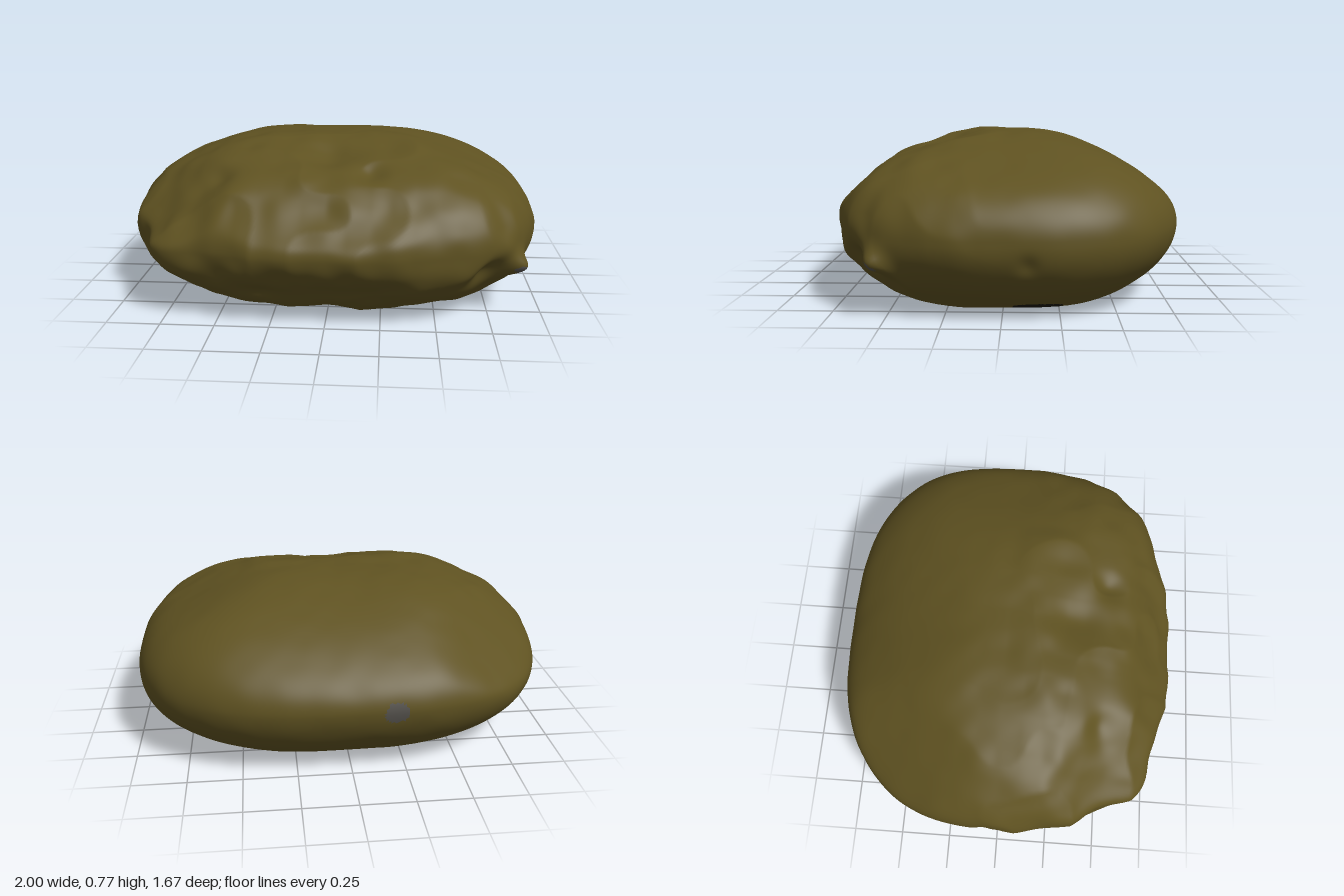
import * as THREE from 'three';
import { mergeVertices } from 'three/addons/utils/BufferGeometryUtils.js';

const CORE = 0.35; // height of the widest girth

// Smooth lattice noise in -1..1
function hash(x, y, z) {
  const s = Math.sin(x * 127.1 + y * 311.7 + z * 74.7) * 43758.5453;
  return (s - Math.floor(s)) * 2 - 1;
}
function noise(x, y, z) {
  const ix = Math.floor(x), iy = Math.floor(y), iz = Math.floor(z);
  const ease = t => t * t * (3 - 2 * t);
  const u = ease(x - ix), v = ease(y - iy), w = ease(z - iz);
  let sum = 0;
  for (let k = 0; k < 8; k++) {
    const a = k & 1, b = (k >> 1) & 1, c = k >> 2;
    sum += hash(ix + a, iy + b, iz + c) * (a ? u : 1 - u) * (b ? v : 1 - v) * (c ? w : 1 - w);
  }
  return sum;
}

// Worn planes: normal, distance from the core, softness of the edge
const CUTS = [
  { n: [-0.84, 0, 0.54], d: 1.0, soft: 0.02 },     // front corner
  { n: [0, 0.7, 0.71], d: 0.628, soft: 0.02 },     // upper front
  { n: [-0.5, 0.72, 0.48], d: 0.7, soft: 0.02 },   // upper front corner
  { n: [0, -0.67, 0.74], d: 0.67, soft: 0.02 },    // lower front
  { n: [0, 0.958, 0.287], d: 0.45, soft: 0.03 },   // top front
  { n: [0, 0.92, -0.39], d: 0.505, soft: 0.06 },   // top back
  { n: [0, 0.8, -0.6], d: 0.585, soft: 0.06 },     // upper back
  { n: [-0.45, 0.78, -0.43], d: 0.63, soft: 0.06 },// upper back corner
  { n: [0.39, 0.92, 0], d: 0.545, soft: 0.04 },    // top side
  { n: [0.03, 1, -0.03], d: 0.432, soft: 0.02 },   // crown
].map(c => ({ ...c, n: new THREE.Vector3(...c.n).normalize() }));

// Local knobs and dents: centre, radius, push
const PUSHES = [
  { at: [-0.83, 0.1, 0.08], r: 0.075, by: [-0.07, -0.1, 0] },    // drooping spur
  { at: [-0.95, 0.2, 0.0], r: 0.07, by: [-0.03, 0, 0] },         // lump above spur
  { at: [-0.73, 0.33, 0.63], r: 0.15, by: [-0.01, 0, 0.05] },    // blunt front corner
  { at: [0.85, 0.23, 0.55], r: 0.07, by: [0.07, 0, 0.035] },     // corner knob
  { at: [0.74, 0.22, 0.64], r: 0.08, by: [-0.03, 0.02, -0.03] }, // hollow beside knob
  { at: [-0.98, 0.33, -0.03], r: 0.05, by: [0.02, 0, 0] },
  { at: [0.95, 0.27, -0.1], r: 0.04, by: [-0.025, 0, 0] },
  { at: [0.0, 0.7, 0.33], r: 0.1, by: [0, -0.025, -0.01] },
  { at: [0.18, 0.65, 0.5], r: 0.08, by: [0, -0.02, -0.015] },
  { at: [-0.5, 0.62, 0.48], r: 0.08, by: [0, -0.02, -0.015] },
  { at: [-0.3, 0.13, 0.7], r: 0.07, by: [0, 0, -0.03] },
].map(p => ({ at: new THREE.Vector3(...p.at), r: p.r, by: new THREE.Vector3(...p.by) }));

// Colour patches: centre, half sizes, turn about y, material index
const PATCHES = [
  { at: [0.4, 0, 0.155], size: [0.06, 0.03, 0.1], turn: 0.4, m: 2 },
  { at: [0.69, 0.01, -0.16], size: [0.09, 0.042, 0.125], turn: 0, m: 2 },
  { at: [-0.21, 0, -0.28], size: [0.08, 0.03, 0.07], turn: 0.3, m: 2 },
  { at: [-0.04, 0, 0.255], size: [0.13, 0.03, 0.06], turn: -0.64, m: 2 },
  { at: [-0.21, 0, 0.29], size: [0.11, 0.03, 0.085], turn: -0.64, m: 2 },
  { at: [-0.43, 0, 0.1], size: [0.06, 0.03, 0.06], turn: 0, m: 2 },
  { at: [-0.05, 0, -0.01], size: [0.38, 0.03, 0.29], turn: -0.3, m: 1 },
  { at: [-0.18, 0.34, -0.83], size: [0.055, 0.05, 0.1], turn: 0, m: 1 },
  { at: [0.89, 0.23, 0.57], size: [0.03, 0.025, 0.05], turn: 0, m: 1 },
];

function patchAt(p) {
  const wobble = 1 + 0.2 * noise(p.x * 11, p.y * 11, p.z * 11);
  for (const { at, size, turn, m } of PATCHES) {
    const x = p.x - at[0], z = p.z - at[2], c = Math.cos(turn), s = Math.sin(turn);
    const d = Math.hypot((x * c - z * s) / size[0], (p.y - at[1]) / size[1], (x * s + z * c) / size[2]);
    if (d < wobble) return m;
  }
  return 0;
}

// Stone surface point along a direction from the core
function surfacePoint(dir) {
  const plan = Math.pow(Math.abs(dir.x) ** 2.7 + Math.abs(dir.z / 0.84) ** 2.7, 1 / 2.7);
  let r = 1 / Math.hypot(plan, dir.y / (dir.y > 0 ? 0.45 : 0.46));
  for (const { n, d, soft } of CUTS) {
    const f = n.dot(dir);
    if (f > 0.01) {
      const gap = r - d / f; // soft minimum keeps the edges worn
      r -= 0.5 * (gap + Math.hypot(gap, soft));
    }
  }
  const p = dir.clone().multiplyScalar(r);
  // Underside leans slightly sideways and narrows in depth
  const low = Math.max(0, -p.y / CORE);
  p.x += 0.025 * low;
  p.z *= 1 - 0.04 * low;
  // Wrinkled towards the front, nearly smooth at the back
  const rough = THREE.MathUtils.smoothstep(p.z - 0.2 * p.x, -0.3, 0.45);
  const ridge = 1 - 2 * Math.abs(noise(p.x * 4 + 3, p.y * 5, p.z * 4));
  const swell = noise(p.x * 3, p.y * 3 + 7, p.z * 3);
  const fine = noise(p.x * 10, p.y * 10, p.z * 10 + 5);
  const bump = 0.006 * swell + 0.002 * fine + rough * (0.014 * (ridge - 0.4) + 0.007 * fine);
  p.addScaledVector(dir, bump);
  p.y += CORE;
  for (const { at, r: size, by } of PUSHES) {
    p.addScaledVector(by, Math.exp(-p.distanceToSquared(at) / (size * size)));
  }
  // Flat base
  if (p.y < 0) {
    const k = CORE / (CORE - p.y);
    p.set(p.x * k, 0, p.z * k);
  }
  return p;
}

function stoneGeometry() {
  let geo = new THREE.IcosahedronGeometry(1, 75);
  geo.deleteAttribute('normal');
  geo.deleteAttribute('uv');
  geo = mergeVertices(geo, 1e-4);
  const pos = geo.attributes.position, v = new THREE.Vector3();
  for (let i = 0; i < pos.count; i++) {
    const p = surfacePoint(v.fromBufferAttribute(pos, i).normalize());
    pos.setXYZ(i, p.x, p.y, p.z);
  }

  // Rest the stone centred on the ground
  geo.computeBoundingBox();
  const { min, max } = geo.boundingBox;
  geo.translate(-(min.x + max.x) / 2, -min.y, -(min.z + max.z) / 2);
  geo.computeVertexNormals();

  // Sort the faces into one group per colour
  const lists = [[], [], []], src = geo.index.array, mid = new THREE.Vector3();
  for (let i = 0; i < src.length; i += 3) {
    mid.set(0, 0, 0);
    for (let k = 0; k < 3; k++) mid.add(v.fromBufferAttribute(pos, src[i + k]));
    lists[patchAt(mid.divideScalar(3))].push(src[i], src[i + 1], src[i + 2]);
  }
  geo.setIndex(lists.flat());
  let start = 0;
  lists.forEach((list, m) => {
    geo.addGroup(start, list.length, m);
    start += list.length;
  });
  return geo;
}

export function createModel() {
  const material = (name, color) => {
    const m = new THREE.MeshStandardMaterial({ color });
    m.name = name;
    return m;
  };
  const materials = [
    material('olive stone', 0x5f5221),
    material('grey patch', 0x54514c),
    material('black patch', 0x1a190e),
  ];
  const group = new THREE.Group();
  group.name = 'boulder';
  const stone = new THREE.Mesh(stoneGeometry(), materials);
  stone.name = 'stone';
  group.add(stone);
  return group;
}
